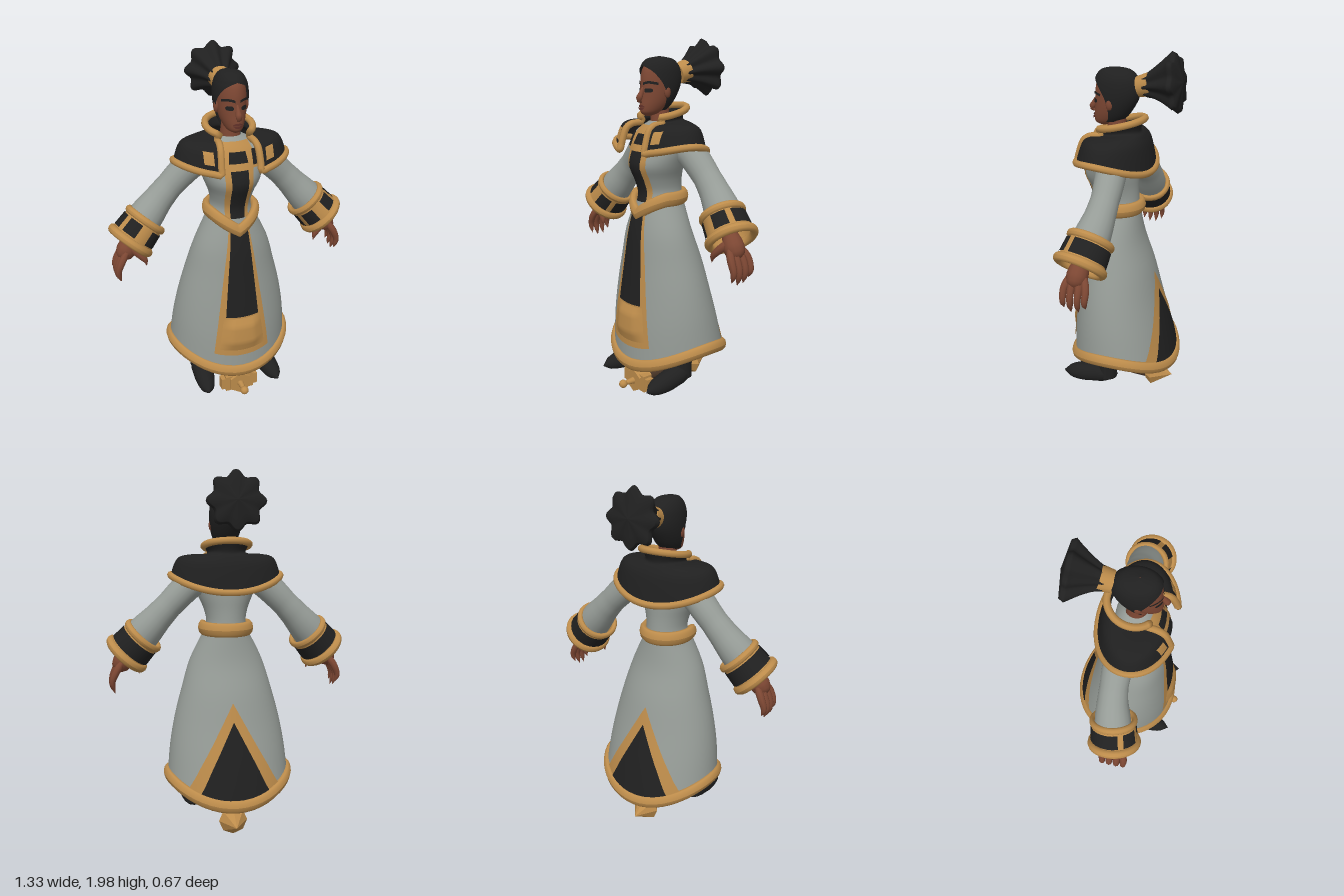
import * as THREE from 'three';

const V = (x, y, z) => new THREE.Vector3(x, y, z);
const { lerp, clamp } = THREE.MathUtils;
const { PI, sin, cos, min, max, abs, asin, floor } = Math;
const paint = (name, color, side = THREE.DoubleSide) => Object.assign(new THREE.MeshStandardMaterial({ color, side }), { name });

// Grid surface from fn(u, v); u runs to the left of the model, v runs down
function surf(fn, nu, nv, closed = false) {
  const pos = [], idx = [], cols = closed ? nu : nu + 1;
  for (let j = 0; j <= nv; j++) for (let i = 0; i < cols; i++) pos.push(...fn(i / nu, j / nv).toArray());
  for (let j = 0; j < nv; j++) for (let i = 0; i < nu; i++) {
    const k = (i + 1) % cols, a = j * cols + i, d = j * cols + k;
    idx.push(a, a + cols, d, d, a + cols, d + cols);
  }
  const g = new THREE.BufferGeometry();
  g.setAttribute('position', new THREE.Float32BufferAttribute(pos, 3));
  g.setIndex(idx);
  g.computeVertexNormals();
  return g;
}

const spline = (a, b, c, d, t) => 0.5 * (2 * b + (c - a) * t + (2 * a - 5 * b + 4 * c - d) * t * t + (3 * b - a - 3 * c + d) * t ** 3);

// Elliptical body from rows [y, half width, front z, back z], top to bottom
function body(rows, shift = () => 0) {
  const n = rows.length - 1;
  const row = v => {
    const f = clamp(v, 0, 1) * n, i = min(floor(f), n - 1), at = k => rows[clamp(k, 0, n)];
    return rows[0].map((_, c) => spline(at(i - 1)[c], at(i)[c], at(i + 1)[c], at(i + 2)[c], f - i));
  };
  const fn = (th, v, off = 0) => {
    const [y, rx, zf, zb] = row(v);
    return V(sin(th) * (rx + off), y + shift(th, v), (zf + zb) / 2 + cos(th) * ((zf - zb) / 2 + off));
  };
  fn.width = v => row(v)[1];
  fn.vOf = (y, th) => {
    let lo = 0, hi = 1;
    for (let k = 0; k < 30; k++) { const m = (lo + hi) / 2; if (fn(th, m).y > y) lo = m; else hi = m; }
    return lo;
  };
  fn.geo = (nu, nv) => surf((u, v) => fn(u * 2 * PI, v), nu, nv, true);
  return fn;
}

// Painted plate on a body between two heights, bounded by lo(t)..hi(t) in x
function patch(b, y0, y1, lo, hi, off, base = 0, nu = 10, nv = 10) {
  const v0 = b.vOf(y0, base), v1 = b.vOf(y1, base);
  const rise = typeof off === 'function' ? off : () => off;
  return surf((u, t) => {
    const v = lerp(v0, v1, t), x = lerp(lo(t), hi(t), u);
    return b(base + asin(clamp(x / b.width(v), -1, 1)), v, rise(u, t));
  }, nu, nv);
}
const strip = (b, y0, y1, w0, w1, off, base) => patch(b, y0, y1, t => -lerp(w0, w1, t), t => lerp(w0, w1, t), off, base);

// Closed padded band around a path given by angle
const ring = (path, a, b, n = 48) => surf((u, v) => {
  const th = u * 2 * PI, p = -v * 2 * PI, r = a * cos(p);
  return path(th).add(V(sin(th) * r, b * sin(p), cos(th) * r));
}, n, 10, true);

// Round limb along a curve with varying radius
function limb(pts, radii, nu = 14, nv = 20, lobe = 0) {
  const c = new THREE.CatmullRomCurve3(pts.map(p => V(...p))), f = c.computeFrenetFrames(nv);
  return surf((u, v) => {
    const j = Math.round(v * nv), k = v * (radii.length - 1), i = min(floor(k), radii.length - 2), p = -u * 2 * PI;
    const r = lerp(radii[i], radii[i + 1], k - i) * (1 + lobe * cos(8 * p));
    return c.getPointAt(v).addScaledVector(f.normals[j], r * cos(p)).addScaledVector(f.binormals[j], r * sin(p));
  }, nu, nv, true);
}
const flat = g => { const f = g.index ? g.toNonIndexed() : g; f.computeVertexNormals(); return f; };

export function createModel() {
  const model = new THREE.Group();
  model.name = 'robedFigure';
  const cloth = paint('grey cloth', 0x969c97), gold = paint('gold trim', 0xbd8c4b), black = paint('black cloth', 0x202020);
  const skin = paint('skin', 0x7d4733), wood = paint('dark wood', 0x4a3627), lip = paint('lips', 0x63322a);
  const add = (name, geo, mat, parent = model) => {
    const m = new THREE.Mesh(geo, mat);
    m.name = name;
    parent.add(m);
    return m;
  };

  // Skirt with raised sides, padded hem, front panel and back triangle
  const skirt = body([[1.13, .125, .185, -.085], [.97, .205, .22, -.11], [.81, .255, .24, -.165], [.65, .298, .26, -.21],
    [.49, .328, .278, -.26], [.33, .345, .285, -.305]], (th, v) => -.115 * cos(th) ** 2 * v * v);
  add('skirt', skirt.geo(48, 20), cloth);
  add('skirtHem', ring(th => skirt(th, 1), .024, .036), gold);
  add('skirtFrontBorder', strip(skirt, 1.08, .32, .055, .16, .005), gold);
  add('skirtFrontPanel', strip(skirt, 1.08, .565, .045, .092, .009), black);
  add('skirtFrontPocket', patch(skirt, .555, .355, t => -lerp(.105, .13, t), t => lerp(.105, .13, t),
    (u, t) => .006 + .018 * min(1, 4 * min(u, 1 - u)) * min(1, 4 * min(t, 1 - t)), 0, 16, 12), gold);
  add('skirtBackBorder', strip(skirt, .76, .22, 0, .265, .005, PI), gold);
  add('skirtBackPanel', strip(skirt, .66, .25, 0, .185, .009, PI), black);

  // Bodice and belt
  const torso = body([[1.56, .06, .1, -.02], [1.5, .165, .15, -.06], [1.42, .18, .19, -.068], [1.33, .155, .218, -.075],
    [1.25, .122, .188, -.075], [1.17, .112, .165, -.08], [1.08, .15, .19, -.09]]);
  add('bodice', torso.geo(36, 24), cloth);
  add('bodiceBorder', strip(torso, 1.42, 1.11, .078, .06, .005), gold);
  add('bodiceStripe', strip(torso, 1.405, 1.11, .046, .036, .009), black);
  add('bib', strip(torso, 1.54, 1.41, .07, .12, .005), gold);
  add('bibInset', strip(torso, 1.495, 1.44, .042, .05, .009), black);
  for (const s of [-1, 1]) add('bibSide', patch(torso, 1.5, 1.425, () => s * .095 - .018, () => s * .095 + .018, .009), black);
  add('belt', ring(th => V(.132 * sin(th), 1.148 - (cos(th) > 0 ? .085 * max(0, 1 - abs(sin(th)) / .95) : 0), .055 + .145 * cos(th)), .024, .04, 64), gold);

  // Capelet with standing collar, open at the front
  const cape = body([[1.605, .125, .15, -.105], [1.562, .108, .152, -.085], [1.558, .19, .18, -.105], [1.535, .27, .215, -.13],
    [1.445, .308, .248, -.155]], (th, v) => -.03 * cos(th) * (1 - v) ** 2 + v * v * (-.065 * cos(th) ** 2 + .02 * cos(th)));
  const open = v => asin(lerp(.082, .108, v) / cape.width(v));
  const capeAt = (u, v, off) => cape(lerp(open(v), 2 * PI - open(v), u), v, off);
  add('capelet', surf((u, v) => capeAt(u, v), 48, 20), black);
  const edge = [];
  for (let i = 0; i < 40; i++) edge.push(capeAt(i / 40, 1));
  for (let i = 0; i < 12; i++) edge.push(capeAt(1, 1 - i / 12));
  for (let i = 0; i < 24; i++) edge.push(capeAt(1 - i / 24, 0));
  for (let i = 0; i < 12; i++) edge.push(capeAt(0, i / 12));
  add('capeletTrim', new THREE.TubeGeometry(new THREE.CatmullRomCurve3(edge, true), 180, .019, 8, true), gold);
  for (const s of [-1, 1]) add('capeletBadge', patch(cape, 1.51, 1.445, () => s * .16 - .024, () => s * .16 + .024, .007), gold);

  // Neck, head and face
  add('neck', new THREE.CylinderGeometry(.045, .06, .18, 16).translate(0, 1.57, .045), skin);
  const head = body([[1.885, .001, .055, .045], [1.872, .042, .115, -.02], [1.835, .068, .148, -.058], [1.785, .077, .161, -.07],
    [1.735, .077, .163, -.062], [1.685, .071, .166, -.035], [1.64, .058, .17, .0], [1.605, .038, .165, .05], [1.588, .004, .135, .11]]);
  add('head', head.geo(32, 32), skin);
  add('nose', limb([[0, 1.745, .155], [0, 1.7, .175], [0, 1.675, .186], [0, 1.66, .168]], [.004, .012, .018, .004], 10, 10), skin);
  add('upperLip', strip(head, 1.648, 1.637, .012, .026, .005), lip);
  add('lowerLip', strip(head, 1.635, 1.622, .024, .012, .007), lip);
  for (const s of [-1, 1]) {
    add('eye', patch(head, 1.734, 1.712, t => s * .036 - .018 * sin(PI * (.2 + .6 * t)), t => s * .036 + .018 * sin(PI * (.2 + .6 * t)), .004), black);
    add('eyebrow', surf((u, t) => {
      const x = s * lerp(.012, .066, s > 0 ? u : 1 - u), v = head.vOf(1.757 + .014 * sin(abs(x) * 40) - .013 * t, 0);
      return head(asin(x / head.width(v)), v, .005);
    }, 8, 2), black);
    const ear = add('ear', new THREE.SphereGeometry(1, 12, 8), skin);
    ear.scale.set(.014, .032, .02);
    ear.position.set(s * .08, 1.715, .058);
  }

  // Swept-back hair, hair band and fanned ponytail
  add('hair', surf((u, v) => {
    const w = v * .82, y = head(0, w).y, a = 1.75 * clamp((1.835 - y) / .2, 0, 1) ** .4;
    const p = head(lerp(a, 2 * PI - a, u), w, .013 * min(1, 9 * w));
    p.y += .012 * (1 - v);
    return p;
  }, 36, 28), black);
  const band = add('hairBand', new THREE.CylinderGeometry(.062, .054, .065, 16), gold);
  band.position.set(0, 1.81, -.105);
  band.rotation.x = -PI / 2 + .25;
  add('ponytail', limb([[0, 1.805, -.09], [0, 1.825, -.2], [0, 1.84, -.312]],
    [.045, .055, .06, .07, .082, .095, .11, .125, .142, .13, 0], 64, 30, .11), black);

  for (const s of [-1, 1]) {
    const side = new THREE.Group();
    side.name = s > 0 ? 'leftLimbs' : 'rightLimbs';
    model.add(side);
    const m = pts => pts.map(([x, y, z]) => [s * x, y, z]);

    // Sleeve
    add('sleeve', limb(m([[.13, 1.45, .01], [.2, 1.405, 0], [.31, 1.3, -.01], [.4, 1.205, -.005], [.5, 1.095, .015]]),
      [.05, .082, .078, .074, .08, .092, .1], 18, 24), cloth, side);

    // Flared cuff with padded rims and inset bands
    const cuff = new THREE.Group();
    cuff.name = 'cuff';
    cuff.position.set(s * .513, 1.067, .022);
    cuff.quaternion.setFromUnitVectors(V(0, -1, 0), V(s * .66, -.73, .15).normalize());
    side.add(cuff);
    const sleeveEnd = (th, y, off) => V(sin(th) * (.112 - .08 * y + off), y, cos(th) * (.118 - .08 * y + off));
    add('cuffBody', surf((u, v) => sleeveEnd(u * 2 * PI, .07 - .14 * v, 0), 32, 1, true), gold, cuff);
    add('cuffUpperRim', ring(th => sleeveEnd(th, .068, 0), .015, .02, 32), gold, cuff);
    add('cuffLowerRim', ring(th => sleeveEnd(th, -.068, 0), .02, .024, 32), gold, cuff);
    for (const [a, b] of [[.28, .95], [-.95, -.28], [1.2, 2 * PI - 1.2]])
      add('cuffBand', surf((u, v) => sleeveEnd(lerp(a, b, u), .042 - .08 * v, .006), 16, 1), black, cuff);

    // Hand with curled fingers
    add('palm', limb(m([[.53, 1.06, .03], [.565, 1.0, .035], [.595, .95, .04], [.615, .905, .04]]), [.035, .042, .052, .056, .045, 0], 14, 14), skin, side);
    [-.022, .016, .056, .094].forEach((z, i) => {
      const tip = [.82, .795, .79, .81][i];
      add('finger', limb(m([[.59, .97, lerp(z, .04, .3)], [.625, .915, z], [.643, .86, z], [.628, tip, z]]), [.016, .021, .02, .018, .015, 0], 8, 12), skin, side);
    });
    add('thumb', limb(m([[.57, 1.0, .06], [.525, .955, .09], [.497, .92, .1], [.49, .885, .1]]), [.02, .024, .021, .016, 0], 8, 10), skin, side);

    // Boot
    add('bootLeg', limb(m([[.15, .8, .0], [.165, .5, .02], [.185, .28, .035], [.19, .13, .04]]), [.08, .07, .058, .055, .056], 14, 12), black, side);
    const foot = limb(m([[.188, .15, -.025], [.19, .15, .06], [.198, .13, .17], [.212, .115, .31]]), [0, .05, .062, .06, .058, .052, .04, 0], 14, 16);
    const p = foot.attributes.position;
    for (let i = 0; i < p.count; i++) p.setY(i, max(p.getY(i), .09));
    foot.computeVertexNormals();
    add('bootFoot', foot, black, side);
  }

  // Mace lying between the feet, pointing backwards
  const mace = new THREE.Group();
  mace.name = 'mace';
  mace.position.y = .087;
  model.add(mace);
  const along = (g, z) => g.rotateX(PI / 2).translate(0, 0, z);
  add('maceShaft', along(new THREE.CylinderGeometry(.032, .045, .34, 12), .02), wood, mace);
  add('maceHead', flat(along(new THREE.CylinderGeometry(.068, .078, .08, 6), .205)), gold, mace);
  add('maceWings', flat(new THREE.BoxGeometry(.17, .095, .055).translate(0, 0, .205)), gold, mace);
  for (const s of [-1, 1]) add('maceWingEnd', flat(new THREE.BoxGeometry(.03, .07, .045).translate(s * .095, 0, .205)), gold, mace);
  add('macePin', along(new THREE.CylinderGeometry(.012, .02, .07, 10), .27), gold, mace);
  add('maceKnob', new THREE.SphereGeometry(.024, 12, 8).translate(0, 0, .315), gold, mace);
  const spike = [[0, -.3], [.08, -.185], [.05, -.145], [0, -.145]].map(q => new THREE.Vector2(...q));
  add('maceSpike', flat(along(new THREE.LatheGeometry(spike, 8), 0)), gold, mace);

  return model;
}
